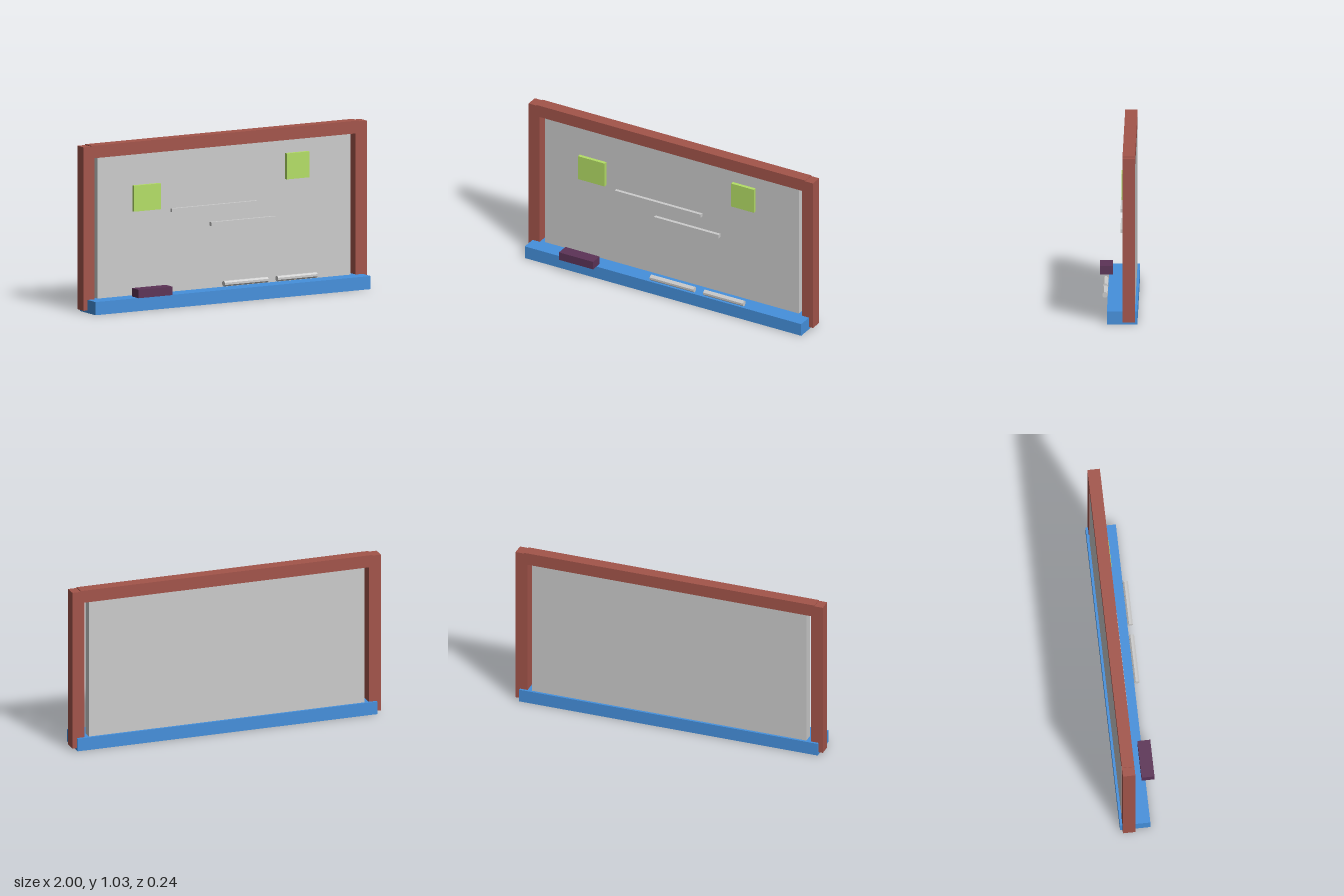
import * as THREE from 'three';

const paint = (color) => new THREE.MeshStandardMaterial({ color });

export function createModel() {
  const group = new THREE.Group();
  const wood = paint(0xa3544a);
  const blue = paint(0x4590dc);
  const green = paint(0xb4de66);
  const purple = paint(0x5c3357);
  const grey = paint(0xcccccc);

  const add = (name, geometry, material) => {
    const mesh = new THREE.Mesh(geometry, material);
    mesh.name = name;
    group.add(mesh);
    return mesh;
  };

  // Box given by its extents along each axis
  const block = (name, material, [x0, x1], [y0, y1], [z0, z1]) => {
    const mesh = add(name, new THREE.BoxGeometry(x1 - x0, y1 - y0, z1 - z0), material);
    mesh.position.set((x0 + x1) / 2, (y0 + y1) / 2, (z0 + z1) / 2);
  };

  // Frame: two posts and a top beam let into them
  const frameZ = [-0.105, -0.029];
  block('leftPost', wood, [0.922, 1], [0.016, 1.025], frameZ);
  block('rightPost', wood, [-1, -0.922], [0.016, 1.025], frameZ);
  block('topBeam', wood, [-0.945, 0.945], [0.952, 1.03], frameZ);

  // Writing surface, with a narrow gap to each post
  block('board', grey, [-0.893, 0.893], [0.06, 0.965], [-0.1045, -0.042]);

  // Tray along the bottom
  block('tray', blue, [-0.972, 0.972], [0, 0.081], [-0.12, 0.066]);

  // Paper notes
  const noteZ = [-0.042, -0.02];
  block('rightNote', green, [-0.648, -0.46], [0.6, 0.76], noteZ);
  block('leftNote', green, [0.43, 0.59], [0.71, 0.87], noteZ);

  // Written lines, raised from the board
  const lineZ = [-0.032, -0.011];
  block('upperLine', grey, [-0.385, 0.22], [0.576, 0.598], lineZ);
  block('lowerLine', grey, [-0.108, 0.347], [0.468, 0.491], lineZ);

  // Eraser and markers above the tray
  block('eraser', purple, [-0.7, -0.46], [0.09, 0.142], [0.042, 0.121]);
  for (const [name, x0, x1] of [['rightMarker', -0.076, 0.232], ['leftMarker', 0.3, 0.58]]) {
    const geometry = new THREE.CylinderGeometry(0.0175, 0.0175, x1 - x0, 8);
    geometry.rotateY(Math.PI / 8).rotateZ(Math.PI / 2);
    const material = grey.clone();
    material.flatShading = true;
    add(name, geometry, material).position.set((x0 + x1) / 2, 0.123, 0.081);
  }

  return group;
}
